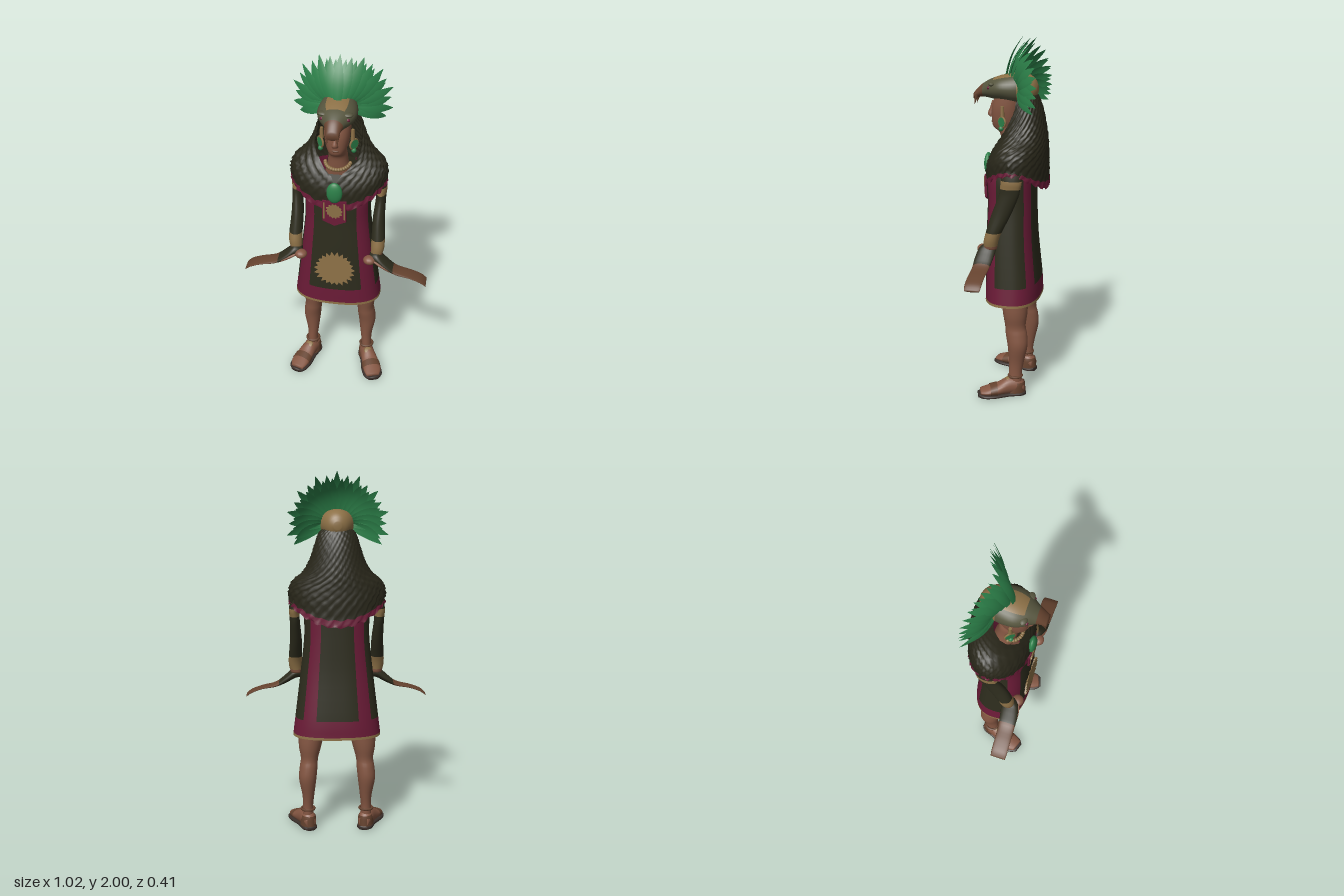
import * as THREE from 'three';

const mat = (name, color) => new THREE.MeshStandardMaterial({ name, color, side: THREE.DoubleSide });

export function createModel() {
  const M = {
    skin: mat('skin', 0x845642), cloth: mat('dark cloth', 0x2d2c1d), fur: mat('dark fur', 0x29271a),
    red: mat('crimson trim', 0x6b1b37), gold: mat('gold', 0x8c7046), green: mat('feather green', 0x2c8049),
    mask: mat('mask grey green', 0x55543d), brown: mat('leather brown', 0x66432f), sole: mat('sole', 0x3a2f2a),
  };
  const root = new THREE.Group();
  root.name = 'featheredWarrior';

  const add = (name, geo, material, x = 0, y = 0, z = 0, parent = root) => {
    const m = new THREE.Mesh(geo, material);
    m.name = name;
    m.position.set(x, y, z);
    parent.add(m);
    return m;
  };

  // Grid surface: point(i, j) gives a position, pick(i, j) the material of a cell
  function surface(name, nu, nv, point, pick, { closed = true, flip = false, parent = root } = {}) {
    const cols = closed ? nu : nu + 1, pos = [], buckets = new Map();
    for (let j = 0; j <= nv; j++) for (let i = 0; i < cols; i++) pos.push(...point(i, j));
    for (let j = 0; j < nv; j++) for (let i = 0; i < nu; i++) {
      const k = (i + 1) % cols, a = j * cols + i, b = j * cols + k, c = b + cols, d = a + cols;
      const m = pick(i, j);
      if (!buckets.has(m)) buckets.set(m, []);
      buckets.get(m).push(...(flip ? [a, c, b, a, d, c] : [a, b, c, a, c, d]));
    }
    const geo = new THREE.BufferGeometry(), index = [], mats = [];
    geo.setAttribute('position', new THREE.Float32BufferAttribute(pos, 3));
    for (const [m, list] of buckets) {
      geo.addGroup(index.length, list.length, mats.length);
      mats.push(m);
      for (const v of list) index.push(v);
    }
    geo.setIndex(index);
    geo.computeVertexNormals();
    return add(name, geo, mats, 0, 0, 0, parent);
  }

  // Smoothly resample rows of numbers
  function smooth(rows, sub) {
    const out = [], at = i => rows[Math.max(0, Math.min(rows.length - 1, i))];
    for (let i = 0; i < rows.length - 1; i++) for (let s = 0; s < sub; s++) {
      const t = s / sub;
      out.push(rows[i].map((p1, k) => {
        const p0 = at(i - 1)[k], p2 = at(i + 1)[k], p3 = at(i + 2)[k];
        return p1 + 0.5 * t * (p2 - p0 + t * (2 * p0 - 5 * p1 + 4 * p2 - p3 + t * (3 * (p1 - p2) + p3 - p0)));
      }));
    }
    out.push([...rows[rows.length - 1]]);
    return out;
  }

  // Loft along an axis; each row is [t, centre1, centre2, radius1, radius2] on the next two axes in cycle
  const power = (v, e) => Math.sign(v) * Math.abs(v) ** e;
  function loft(name, axis, table, pick, { s = 1, seg = 24, sub = 4, e = 1, cap = true, parent = root } = {}) {
    const rows = smooth(table, sub);
    if (cap) {
      const end = r => [r[0], r[1], r[2], 0.0005, 0.0005];
      rows.unshift(end(rows[0]));
      rows.push(end(rows[rows.length - 1]));
    }
    return surface(name, seg, rows.length - 1, (i, j) => {
      const [t, c1, c2, r1, r2] = rows[j], a = i / seg * Math.PI * 2, p = [0, 0, 0];
      p[axis] = t;
      p[(axis + 1) % 3] = c1 + r1 * power(Math.cos(a), e);
      p[(axis + 2) % 3] = c2 + r2 * power(Math.sin(a), e);
      p[0] *= s;
      return p;
    }, (i, j) => pick((rows[j][0] + rows[j + 1][0]) / 2, (i + 0.5) / seg * 360), { flip: s < 0, parent });
  }

  // Tunic with corner stripes, broad hem band and gold edge
  loft('tunic', 1, [[0.55, -0.022, 0, 0.153, 0.245], [0.575, -0.022, 0, 0.152, 0.242], [0.655, -0.02, 0, 0.15, 0.232],
    [0.9, -0.01, 0, 0.137, 0.202], [1.1, -0.01, 0, 0.13, 0.18], [1.25, -0.01, 0, 0.128, 0.178], [1.38, -0.03, 0, 0.1, 0.15]],
  (y, deg) => {
    const a = deg > 180 ? 360 - deg : deg;
    if (y < 0.567) return M.gold;
    return y < 0.655 || (a > 35 && a < 70) || (a > 130 && a < 155) ? M.red : M.cloth;
  }, { seg: 72, e: 0.8, cap: false });

  // Shaggy hooded cape, open at the face, with a crimson fringe
  const cape = smooth([[1.24, 0.255, 0.165, -0.04, 0], [1.33, 0.262, 0.165, -0.04, 0], [1.4, 0.24, 0.15, -0.052, 0.1],
    [1.46, 0.185, 0.132, -0.068, 0.55], [1.53, 0.148, 0.118, -0.073, 0.95], [1.61, 0.122, 0.1, -0.075, 1.2],
    [1.68, 0.097, 0.08, -0.07, 1.35], [1.72, 0.05, 0.05, -0.07, 1.4]], 5);
  const nu = 90;
  surface('furCape', nu, cape.length - 1, (i, j) => {
    const [y, rx, rz, cz, g] = cape[j], v = j / (cape.length - 1);
    const gap = Math.max(0, g), a = gap + i / nu * 2 * (Math.PI - gap);
    const tuft = 1 + 0.02 * Math.sin(19 * a + j * 1.9) + 0.018 * Math.sin(31 * a - j * 2.3) + (j < 2 ? 0.02 : 0);
    const drop = (1 - v) ** 3 * (0.055 * Math.cos(2 * a) + 0.006 * Math.sin(24 * a));
    return [rx * tuft * Math.sin(a), y - drop, cz + rz * tuft * Math.cos(a)];
  }, (i, j) => (j < 2 ? M.red : M.fur), { closed: false });

  // Head and neck
  loft('head', 1, [[1.34, -0.02, 0, 0.06, 0.075], [1.42, -0.005, 0, 0.055, 0.056], [1.48, 0.005, 0, 0.056, 0.05],
    [1.51, 0.03, 0, 0.066, 0.047], [1.55, 0.028, 0, 0.076, 0.06], [1.62, 0.02, 0, 0.083, 0.07], [1.7, 0, 0, 0.08, 0.07]],
  () => M.skin, { e: 0.9 });
  loft('nose', 1, [[1.565, 0.105, 0, 0.014, 0.018], [1.58, 0.108, 0, 0.021, 0.017], [1.61, 0.102, 0, 0.015, 0.011],
    [1.65, 0.095, 0, 0.01, 0.01]], () => M.skin, { seg: 12 });
  const lips = add('lips', new THREE.SphereGeometry(0.022, 12, 8), M.brown, 0, 1.538, 0.098);
  lips.scale.set(1, 0.3, 0.4);
  // Bead collar
  for (let i = 0; i < 15; i++) {
    const a = (i / 14 - 0.5) * 2.8;
    add('collarBead', new THREE.SphereGeometry(0.011, 8, 6), M.gold, 0.068 * Math.sin(a), 1.425 - 0.015 * Math.cos(a), 0.072 * Math.cos(a));
  }

  // Beaked mask with gold crown and brown beak
  loft('beakedMask', 2, [[-0.148, 0, 1.72, 0.02, 0.02], [-0.13, 0, 1.72, 0.053, 0.055], [-0.09, 0, 1.722, 0.08, 0.078],
    [-0.03, 0, 1.722, 0.1, 0.08], [0.04, 0, 1.723, 0.103, 0.068], [0.09, 0, 1.718, 0.085, 0.057],
    [0.13, 0, 1.712, 0.058, 0.044], [0.165, 0, 1.7, 0.042, 0.032], [0.2, 0, 1.675, 0.033, 0.02]],
  (z, deg) => {
    if (z < -0.05 || (z < 0.09 && Math.abs(deg - 90) < 32)) return M.gold;
    return z > 0.15 ? M.brown : M.mask;
  }, { seg: 32 });
  for (const s of [-1, 1]) {
    const fang = add('beakFang', new THREE.ConeGeometry(0.011, 0.06, 8), M.brown, s * 0.027, 1.653, 0.19);
    fang.rotation.x = Math.PI - 0.25;
    const eye = add('maskEye', new THREE.SphereGeometry(0.014, 12, 8), M.red, s * 0.064, 1.727, 0.108);
    eye.scale.set(1, 0.7, 0.6);
    const brow = add('maskBrow', new THREE.SphereGeometry(0.03, 12, 8), M.mask, s * 0.062, 1.747, 0.09);
    brow.scale.set(1, 0.4, 0.7);
  }

  // Fan of feathers swept back at the sides
  function feather(theta, reach, lift) {
    const sn = Math.sin(theta), cs = Math.cos(theta), sw = Math.abs(sn);
    const base = new THREE.Vector3(0.085 * sn, 1.73 + 0.05 * cs, 0.025 - 0.085 * sw - lift);
    const tip = new THREE.Vector3(reach * sn, 1.73 + reach * cs, -0.07 - 0.1 * sw - lift);
    const dir = tip.clone().sub(base), len = dir.length();
    dir.normalize();
    const side = dir.clone().cross(new THREE.Vector3(0.7 * sn, 0.2, 1)).normalize();
    const out = side.clone().cross(dir);
    const geo = new THREE.PlaneGeometry(2, 1, 2, 8), p = geo.attributes.position;
    for (let i = 0; i < p.count; i++) {
      const t = p.getY(i) + 0.5, x = p.getX(i), w = 0.027 * Math.sin(Math.PI * (0.22 + 0.78 * t)) ** 0.85 + 0.0005;
      p.setXYZ(i, x * w, t * len, 0.008 * (1 - Math.abs(x)) * (1 - t) + 0.018 * Math.sin(Math.PI * t));
    }
    geo.applyMatrix4(new THREE.Matrix4().makeBasis(side, dir, out).setPosition(base));
    geo.computeVertexNormals();
    add('crestFeather', geo, M.green);
  }
  for (let i = -9; i <= 9; i++) feather(i * 0.222, i % 2 ? 0.255 : 0.272, 0);
  for (let i = -8.5; i <= 8.5; i++) feather(i * 0.222, 0.235, 0.012);

  // Chest ornaments: jade face, crimson flap and gold plaque
  const jade = add('jadePendant', new THREE.SphereGeometry(1, 20, 14), M.green, 0, 1.3, 0.128);
  jade.scale.set(0.043, 0.062, 0.022);
  const flap = new THREE.Shape([[-0.065, 1.25], [-0.065, 1.125], [0, 1.095], [0.065, 1.125], [0.065, 1.25]].map(p => new THREE.Vector2(...p)));
  add('chestFlap', new THREE.ExtrudeGeometry(flap, { depth: 0.012, bevelEnabled: false }), M.red, 0, 0, 0.122);
  for (const s of [-1, 1]) add('flapEdge', new THREE.BoxGeometry(0.008, 0.1, 0.008), M.gold, s * 0.055, 1.19, 0.134);
  function sun(name, r, y, z, n, depth) {
    const pts = [];
    for (let i = 0; i < n * 2; i++) {
      const a = i / n * Math.PI, q = i % 2 ? r * 0.8 : r * (1 + 0.06 * Math.sin(i * 2.7));
      pts.push(new THREE.Vector2(q * Math.cos(a), q * Math.sin(a)));
    }
    return add(name, new THREE.ExtrudeGeometry(new THREE.Shape(pts), { depth, bevelEnabled: false }), M.gold, 0, y, z);
  }
  sun('plaqueSun', 0.046, 1.19, 0.132, 14, 0.008);
  sun('tunicSun', 0.112, 0.8, 0.126, 22, 0.009).rotation.x = -0.05;

  for (const s of [-1, 1]) {
    const side = new THREE.Group();
    side.name = s > 0 ? 'leftLimbs' : 'rightLimbs';
    root.add(side);
    const o = { s, parent: side };

    // Ear ornament
    const disc = add('earDisc', new THREE.CylinderGeometry(0.026, 0.026, 0.012, 16), M.green, s * 0.088, 1.55, 0.03, side);
    disc.rotation.set(Math.PI / 2, 0, -s * 0.9);
    add('earRing', new THREE.TorusGeometry(0.027, 0.006, 6, 16), M.gold, s * 0.088, 1.55, 0.03, side).rotation.y = s * 0.9;
    add('earHanger', new THREE.CylinderGeometry(0.009, 0.012, 0.06, 8), M.gold, s * 0.082, 1.605, 0.03, side);
    add('earDrop', new THREE.SphereGeometry(0.014, 10, 8), M.green, s * 0.088, 1.515, 0.035, side);

    // Sleeved arm with gold arm band and wrist cuff
    loft('arm', 1, [[0.885, 0.065, 0.225, 0.036, 0.032], [0.93, 0.06, 0.23, 0.04, 0.037], [0.98, 0.045, 0.23, 0.043, 0.037],
      [1.08, 0.005, 0.226, 0.052, 0.033], [1.18, -0.035, 0.23, 0.054, 0.028], [1.225, -0.045, 0.232, 0.055, 0.028],
      [1.27, -0.052, 0.232, 0.057, 0.03], [1.36, -0.055, 0.2, 0.055, 0.045]],
    y => (y < 0.91 ? M.skin : y < 0.98 || (y > 1.225 && y < 1.27) ? M.gold : M.cloth), { ...o, seg: 20 });

    // Hand guard flaring outward into a flat brown blade
    loft('handGuard', 0, [[0.19, 0.875, 0.08, 0.02, 0.03], [0.23, 0.88, 0.08, 0.032, 0.046], [0.28, 0.845, 0.088, 0.024, 0.05],
      [0.34, 0.808, 0.093, 0.012, 0.046], [0.42, 0.79, 0.096, 0.007, 0.045], [0.48, 0.768, 0.097, 0.007, 0.045],
      [0.51, 0.745, 0.097, 0.006, 0.042]], x => (x < 0.33 ? M.cloth : M.brown), { ...o, seg: 20 });
    const thumb = add('thumb', new THREE.SphereGeometry(1, 14, 10), M.skin, s * 0.192, 0.872, 0.112, side);
    thumb.scale.set(0.035, 0.025, 0.034);
    const fingers = add('fingers', new THREE.SphereGeometry(1, 14, 10), M.skin, s * 0.28, 0.838, 0.122, side);
    fingers.scale.set(0.08, 0.011, 0.018);
    fingers.rotation.z = -s * 0.5;

    // Bare leg
    loft('leg', 1, [[0.05, -0.06, 0.165, 0.038, 0.034], [0.13, -0.06, 0.165, 0.037, 0.029], [0.2, -0.066, 0.163, 0.042, 0.034],
      [0.3, -0.073, 0.166, 0.056, 0.049], [0.37, -0.065, 0.16, 0.06, 0.05], [0.42, -0.058, 0.155, 0.058, 0.049],
      [0.52, -0.055, 0.148, 0.071, 0.068], [0.75, -0.04, 0.115, 0.08, 0.085]], () => M.skin, o);

    // Sandalled foot turned outward
    const foot = new THREE.Group();
    foot.name = 'foot';
    foot.position.set(s * 0.165, 0, -0.06);
    foot.rotation.y = s * 0.33;
    side.add(foot);
    const f = { s, parent: foot };
    loft('footBody', 2, [[-0.05, 0, 0.045, 0.028, 0.028], [-0.02, 0, 0.055, 0.04, 0.045], [0.04, 0.002, 0.055, 0.043, 0.05],
      [0.1, 0.006, 0.042, 0.05, 0.033], [0.16, 0.006, 0.033, 0.052, 0.021], [0.2, 0.002, 0.028, 0.038, 0.013]],
    () => M.skin, f);
    loft('sole', 2, [[-0.058, 0, 0.011, 0.025, 0.011], [-0.03, 0, 0.011, 0.044, 0.011], [0.04, 0.002, 0.011, 0.045, 0.011],
      [0.12, 0.006, 0.011, 0.059, 0.011], [0.18, 0.006, 0.011, 0.055, 0.011], [0.213, 0.002, 0.011, 0.03, 0.011]],
    () => M.sole, { ...f, e: 0.6 });
    loft('heelCup', 1, [[0.02, 0, 0, 0.058, 0.044], [0.06, -0.008, 0, 0.048, 0.042], [0.08, -0.01, 0, 0.043, 0.037]],
      () => M.brown, { ...f, cap: false });
    loft('toeStrap', 2, [[0.105, 0.006, 0.04, 0.054, 0.036], [0.145, 0.006, 0.036, 0.056, 0.028]], () => M.brown, { ...f, cap: false });
    const anklet = add('ankleStrap', new THREE.TorusGeometry(0.037, 0.007, 6, 20), M.brown, 0, 0.115, 0, foot);
    anklet.rotation.x = Math.PI / 2;
    const buckle = add('instepPlate', new THREE.SphereGeometry(1, 12, 8), M.gold, 0, 0.092, 0.052, foot);
    buckle.scale.set(0.024, 0.008, 0.028);
    buckle.rotation.x = 0.5;
  }
  return root;
}
